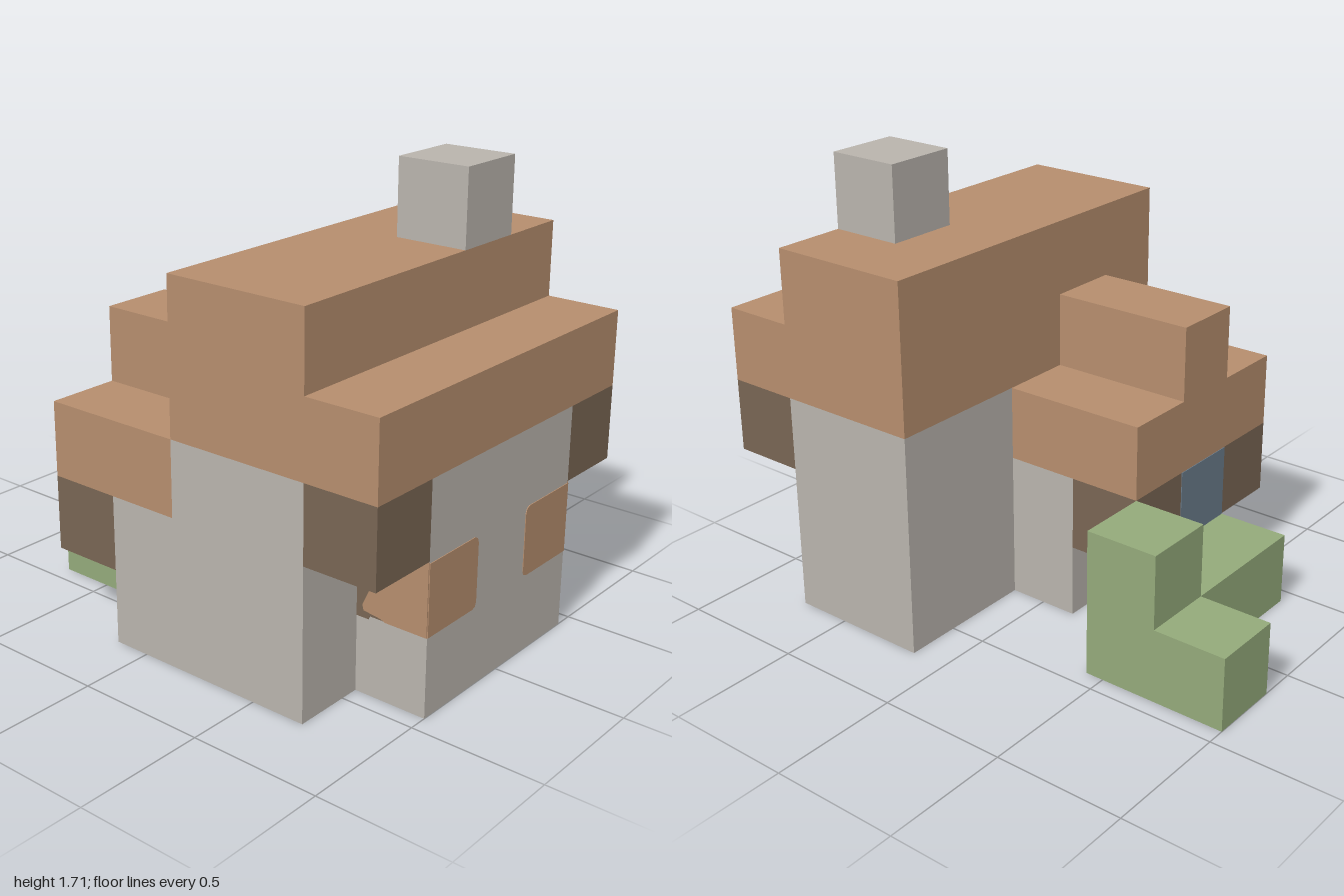
import * as THREE from 'three';
import { mergeGeometries } from 'three/addons/utils/BufferGeometryUtils.js';

const U = 2 / 7; // edge of one building block

const colour = (name, hex) => {
  const m = new THREE.MeshStandardMaterial({ color: hex, side: THREE.DoubleSide });
  m.name = name;
  return m;
};

// Blocks are given in grid cells: [x0, y0, z0, x1, y1, z1], upper ends excluded
const PARTS = {
  houseWalls: ['stone', [[0, 0, 4, 5, 3, 6], [1, 0, 6, 4, 3, 7]]],
  houseEaves: ['timber', [[0, 2, 6, 1, 3, 7], [4, 2, 6, 5, 3, 7]]],
  houseRoof: ['clay', [[0, 3, 4, 5, 4, 7], [0, 4, 4, 5, 5, 6]]],
  chimney: ['stone', [[3, 5, 5, 4, 6, 6]]],
  annexWalls: ['stone', [[0, 0, 3, 3, 2, 4], [1, 0, 2, 2, 2, 3]]],
  annexEaves: ['timber', [[0, 1, 2, 1, 2, 3], [2, 1, 2, 3, 2, 3]]],
  annexRoof: ['clay', [[0, 2, 2, 3, 3, 4], [1, 3, 2, 2, 4, 4]]],
  hedge: ['leaf', [[1, 0, 1, 4, 1, 2], [3, 1, 1, 4, 2, 2], [3, 0, 0, 4, 1, 1]]],
};

// Face directions with the turn that points a plane that way
const FACES = [
  [0, 0, 1, 0, 0], [0, 0, -1, 0, Math.PI],
  [1, 0, 0, 0, Math.PI / 2], [-1, 0, 0, 0, -Math.PI / 2],
  [0, 1, 0, -Math.PI / 2, 0], [0, -1, 0, Math.PI / 2, 0],
];

const cellsOf = (boxes) => {
  const cells = [];
  for (const [x0, y0, z0, x1, y1, z1] of boxes)
    for (let x = x0; x < x1; x++)
      for (let y = y0; y < y1; y++)
        for (let z = z0; z < z1; z++) cells.push([x, y, z]);
  return cells;
};

// Hollow shell: only the outer faces of the blocks, open at the ground
function shell(cells, filled) {
  const faces = [];
  for (const [x, y, z] of cells)
    for (const [dx, dy, dz, rx, ry] of FACES) {
      if (y + dy < 0 || filled.has([x + dx, y + dy, z + dz].join())) continue;
      faces.push(new THREE.PlaneGeometry(U, U).rotateX(rx).rotateY(ry).translate(
        (x - 2 + dx / 2) * U, (y + 0.5 + dy / 2) * U, (z - 3 + dz / 2) * U));
    }
  return mergeGeometries(faces);
}

// Thin painted plate, centred on the wall plane so it shows on both sides
function plate(points, depth) {
  const shape = new THREE.Shape(points.map(([x, y]) => new THREE.Vector2(x, y)));
  return new THREE.ExtrudeGeometry(shape, { depth, bevelEnabled: false }).translate(0, 0, -depth / 2);
}

export function createModel() {
  const materials = {
    stone: colour('stone', 0xb8b3ac),
    clay: colour('clay', 0xb58d6d),
    timber: colour('timber', 0x786553),
    leaf: colour('leaf', 0x93a97a),
    glass: colour('glass', 0x6a7b8a),
  };
  const model = new THREE.Group();
  model.name = 'cottage';
  const add = (name, geometry, material) => {
    const mesh = new THREE.Mesh(geometry, materials[material]);
    mesh.name = name;
    model.add(mesh);
    return mesh;
  };

  const filled = new Set(Object.values(PARTS).flatMap(([, b]) => cellsOf(b)).map((c) => c.join()));
  for (const [name, [material, boxes]] of Object.entries(PARTS))
    add(name, shell(cellsOf(boxes), filled), material);

  // Corner windows: a front pane, and a side pane with a timber surround
  const E = 1.5 * U;
  const front = [[E, 0.298], [E, 0.565], [0.17, 0.565], [0.155, 0.558], [0.148, 0.54],
    [0.148, 0.32], [0.155, 0.304], [0.17, 0.298]];
  const side = [[1, 0.298], [1, 0.57], [0.845, 0.57], [0.74, 0.335], [0.745, 0.315],
    [0.815, 0.306], [0.835, 0.298]];
  const surround = [[0.9, 0.571], [0.715, 0.571], [0.715, 0.287], [0.765, 0.287], [0.77, 0.3], [0.9, 0.3]];
  for (const [s, label] of [[1, 'left'], [-1, 'right']]) {
    add(label + 'FrontPane', plate(front.map(([x, y]) => [s * x, y]), 0.006).translate(0, 0, 1), 'clay');
    add(label + 'SidePane', plate(side, 0.008).rotateY(-Math.PI / 2).translate(s * E, 0, 0), 'clay');
    add(label + 'SideSurround', plate(surround, 0.004).rotateY(-Math.PI / 2).translate(s * E, 0, 0), 'timber');
  }

  // Annex back window
  add('annexWindow', new THREE.BoxGeometry(U, U, 0.006).translate(-U, 1.5 * U, -1.5 * U), 'glass');

  return model;
}
